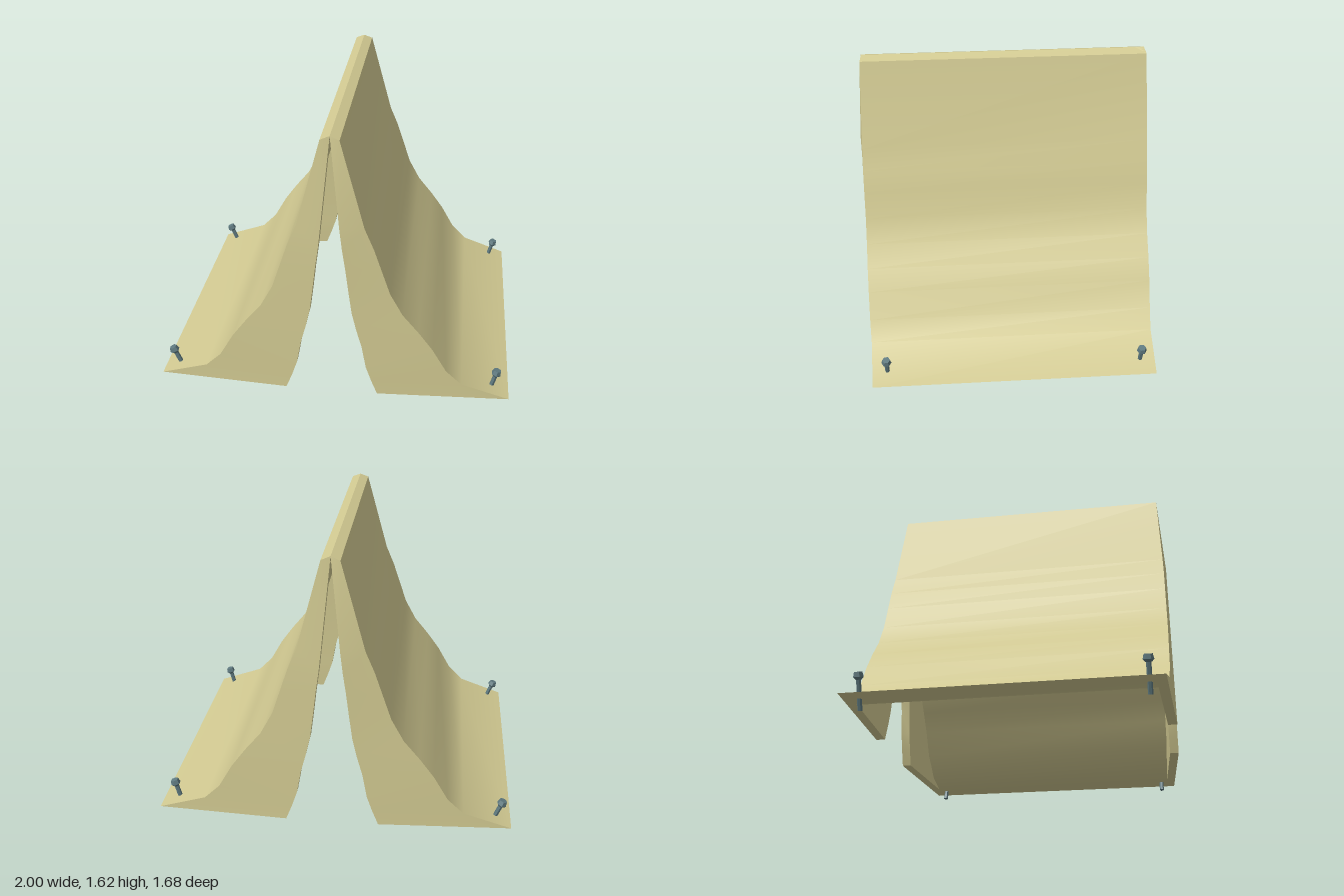
import * as THREE from 'three';
import { toCreasedNormals } from 'three/addons/utils/BufferGeometryUtils.js';

// Slope from toe to ridge: [outer x, y, roof end z, door edge x, door edge z]
const SLOPE = [
  [1.0, 0.06, 0.8, 0.26, 0.84],
  [0.73, 0.15, 0.813, 0.225, 0.84],
  [0.64, 0.24, 0.82, 0.195, 0.84],
  [0.56, 0.38, 0.822, 0.17, 0.84],
  [0.48, 0.49, 0.824, 0.14, 0.84],
  [0.39, 0.6, 0.825, 0.115, 0.84],
  [0.32, 0.73, 0.825, 0.098, 0.84],
  [0.27, 0.88, 0.825, 0.08, 0.84],
  [0.23, 1.0, 0.825, 0.063, 0.84],
  [0.18, 1.12, 0.823, 0.05, 0.84],
  [0.05, 1.605, 0.808, 0.002, 0.803],
  [0.0, 1.625, 0.8, 0.0, 0.8],
];
const THICK = 0.05;

// Joins four-cornered sections into a closed solid
function loft(sections, flip) {
  const pos = [];
  const tri = (a, b, c) => pos.push(...a, ...(flip ? c : b), ...(flip ? b : c));
  const quad = (a, b, c, d) => { tri(a, b, c); tri(a, c, d); };
  for (let i = 0; i < sections.length - 1; i++) {
    const s = sections[i], t = sections[i + 1];
    for (let k = 0; k < 4; k++) {
      const n = (k + 1) % 4;
      quad(s[k], s[n], t[n], t[k]);
    }
  }
  quad(...[...sections[0]].reverse());
  quad(...sections[sections.length - 1]);
  const g = new THREE.BufferGeometry();
  g.setAttribute('position', new THREE.Float32BufferAttribute(pos, 3));
  return toCreasedNormals(g, THREE.MathUtils.degToRad(35));
}

// Inner side of the roof cloth, offset from the outer slope
function innerPoint(i) {
  if (i === 0) return [0.84, 0.06];
  if (i === SLOPE.length - 1) return [0, 1.592];
  const a = SLOPE[i - 1], b = SLOPE[i + 1];
  const dx = b[0] - a[0], dy = b[1] - a[1], l = Math.hypot(dx, dy);
  return [SLOPE[i][0] - (dy / l) * THICK, SLOPE[i][1] + (dx / l) * THICK];
}

export function createModel() {
  const canvas = new THREE.MeshStandardMaterial({ color: 0xd2ca92 });
  canvas.name = 'canvas';
  const steel = new THREE.MeshStandardMaterial({ color: 0x5f7a80 });
  steel.name = 'steel';

  const tent = new THREE.Group();
  tent.name = 'tent';
  const add = (parent, geo, mat, name) => {
    const m = new THREE.Mesh(geo, mat);
    m.name = name;
    parent.add(m);
    return m;
  };

  // Roof: one sheet from the left toe over the ridge to the right toe
  const roofSection = (i, side) => {
    const [x, y, z] = SLOPE[i], [ix, iy] = innerPoint(i);
    return [
      [side * x, y, z], [side * x, y, -z],
      [side * ix, iy, -z + 0.02], [side * ix, iy, z - 0.02],
    ];
  };
  const arch = SLOPE.map((_, i) => roofSection(i, 1));
  for (let i = SLOPE.length - 2; i >= 0; i--) arch.push(roofSection(i, -1));
  add(tent, loft(arch, false), canvas, 'roof');

  // Door flaps: two at each end, bulging outwards to the opening
  for (const sz of [1, -1]) {
    for (const sx of [1, -1]) {
      const sections = SLOPE.map(([x, y, z, dx, dz]) => {
        const bx = Math.max(x - 0.02, dx);
        return [
          [sx * x, y, sz * z], [sx * bx, y, sz * (z - THICK)],
          [sx * dx, y, sz * (dz - THICK)], [sx * dx, y, sz * dz],
        ];
      });
      const name = (sz > 0 ? 'front' : 'back') + (sx > 0 ? 'Left' : 'Right') + 'Flap';
      add(tent, loft(sections, sx * sz < 0), canvas, name);
    }
  }

  // Pegs: hexagonal head, collar and shaft, tilted outwards at the corners
  const shaftGeo = new THREE.CylinderGeometry(0.013, 0.013, 0.175, 6).toNonIndexed();
  const collarGeo = new THREE.CylinderGeometry(0.028, 0.016, 0.014, 6).toNonIndexed();
  const headGeo = new THREE.CylinderGeometry(0.022, 0.028, 0.026, 6).toNonIndexed();
  for (const g of [shaftGeo, collarGeo, headGeo]) g.computeVertexNormals();
  for (const sx of [1, -1]) {
    for (const sz of [1, -1]) {
      const peg = new THREE.Group();
      peg.name = (sz > 0 ? 'front' : 'back') + (sx > 0 ? 'Left' : 'Right') + 'Peg';
      add(peg, shaftGeo, steel, 'pegShaft').position.y = 0.0875;
      add(peg, collarGeo, steel, 'pegCollar').position.y = 0.162;
      add(peg, headGeo, steel, 'pegHead').position.y = 0.182;
      peg.position.set(sx > 0 ? 0.882 : -0.881, 0.006, sz * 0.72);
      peg.rotation.z = sx > 0 ? -0.25 : 0.38;
      tent.add(peg);
    }
  }
  return tent;
}
